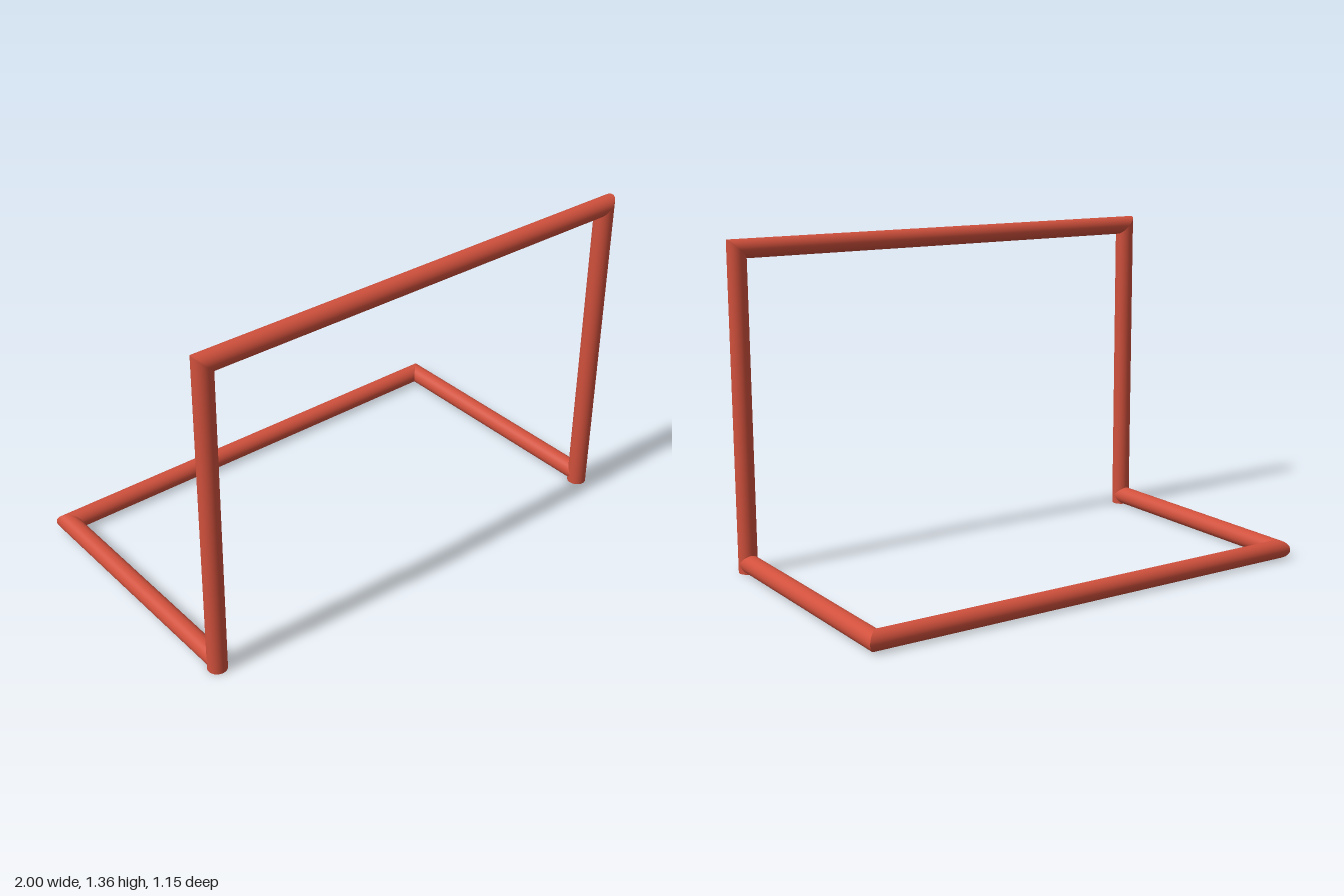
import * as THREE from 'three';

const R = 0.039;            // pipe radius
const X = 1 - R;            // pipe centre lines
const Z = 0.535;
const TOP = 1.36 - R;
const SIDES = 32;

const material = new THREE.MeshStandardMaterial({ color: 0xd0503c });
const v = (x, y, z) => new THREE.Vector3(x, y, z);

// Open pipe from a to b; each end is cut by a plane through that end point with the given normal
function pipe(name, a, b, cutA, cutB) {
  const axis = b.clone().sub(a);
  const length = axis.length();
  axis.normalize();
  const geometry = new THREE.CylinderGeometry(R, R, length, SIDES, 1, true);
  geometry.applyQuaternion(new THREE.Quaternion().setFromUnitVectors(v(0, 1, 0), axis));
  geometry.translate((a.x + b.x) / 2, (a.y + b.y) / 2, (a.z + b.z) / 2);
  const pos = geometry.attributes.position;
  const p = v(0, 0, 0);
  for (let i = 0; i < pos.count; i++) {
    p.fromBufferAttribute(pos, i);
    const atEnd = p.clone().sub(a).dot(axis) > length / 2;
    const end = atEnd ? b : a;
    const normal = (atEnd ? cutB : cutA) || axis;
    const shift = end.clone().sub(p).dot(normal) / axis.dot(normal);
    p.addScaledVector(axis, shift);
    pos.setXYZ(i, p.x, p.y, p.z);
  }
  geometry.computeBoundingSphere();
  const mesh = new THREE.Mesh(geometry, material);
  mesh.name = name;
  return mesh;
}

export function createModel() {
  const frame = new THREE.Group();
  frame.name = 'goalFrame';

  for (const [side, s] of [['left', 1], ['right', -1]]) {
    const x = s * X;
    // Upright with a mitred top
    frame.add(pipe(side + 'Post', v(x, 0, Z), v(x, TOP, Z), null, v(-s, 1, 0)));

    // Flat cap under the upright
    const foot = new THREE.Mesh(new THREE.CircleGeometry(R, SIDES), material);
    foot.name = side + 'Foot';
    foot.rotation.x = Math.PI / 2;
    foot.position.set(x, 0, Z);
    frame.add(foot);

    // Ground bar from the post to the mitred back corner
    frame.add(pipe(side + 'GroundBar', v(x, R, Z), v(x, R, -Z), null, v(-s, 0, -1)));
  }

  // Crossbar and rear ground bar, mitred at both ends
  frame.add(pipe('crossbar', v(-X, TOP, Z), v(X, TOP, Z), v(1, 1, 0), v(-1, 1, 0)));
  frame.add(pipe('rearGroundBar', v(-X, R, -Z), v(X, R, -Z), v(1, 0, -1), v(-1, 0, -1)));

  return frame;
}
